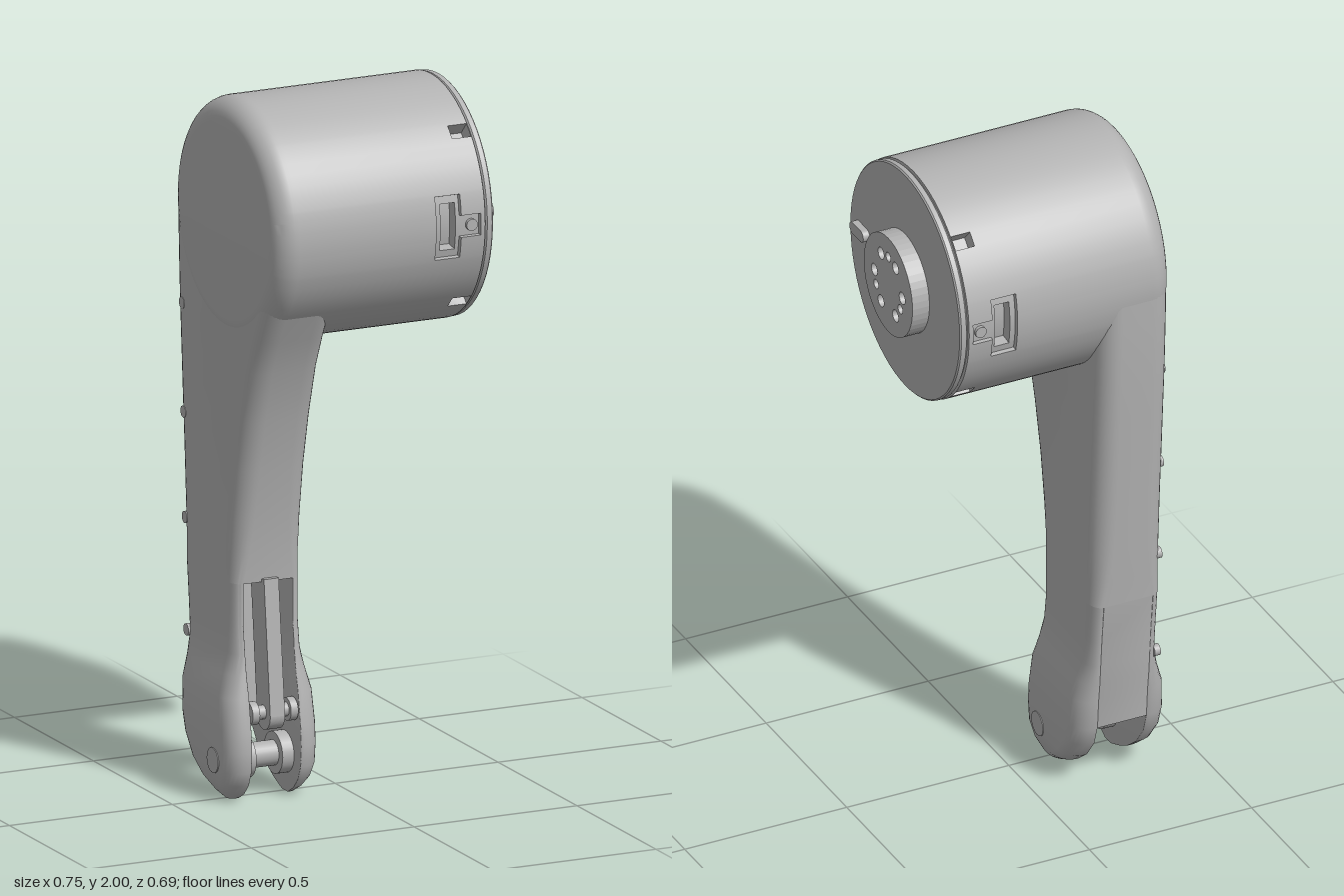
import * as THREE from 'three';
import { toCreasedNormals } from 'three/addons/utils/BufferGeometryUtils.js';

const DRUM_Y = 1.655, DRUM_R = 0.345;
const grey = new THREE.MeshStandardMaterial({ color: 0xb2b2b2 });
grey.name = 'machined grey';

// Closed skin through equal-length rings (counter-clockwise about the loft axis), capped at both ends
function loft(rings, crease = 0.6) {
  const n = rings[0].length, pos = [], idx = [];
  rings.forEach(r => r.forEach(p => pos.push(...p)));
  for (let i = 0; i < rings.length - 1; i++) {
    for (let j = 0; j < n; j++) {
      const a = i * n + j, b = i * n + (j + 1) % n;
      idx.push(a, b, b + n, a, b + n, a + n);
    }
  }
  [0, rings.length - 1].forEach(i => {
    const c = pos.length / 3;
    pos.push(...[0, 1, 2].map(k => rings[i].reduce((s, p) => s + p[k], 0) / n));
    for (let j = 0; j < n; j++) {
      const a = i * n + j, b = i * n + (j + 1) % n;
      idx.push(...(i === 0 ? [b, a, c] : [a, b, c]));
    }
  });
  const g = new THREE.BufferGeometry();
  g.setAttribute('position', new THREE.Float32BufferAttribute(pos, 3));
  g.setIndex(idx);
  return toCreasedNormals(g, crease);
}

// Horizontal rounded rectangle; rl and rr are the x radii of its left and right corners
function section(y, x0, x1, zb, zf, rl, rr, rz = 0.06) {
  const ring = [], N = 7;
  const depth = Math.min(rz, (zf - zb) * 0.45);
  const corners = [[x1, zb, 1, 1, rr], [x0, zb, -1, 1, rl], [x0, zf, -1, -1, rl], [x1, zf, 1, -1, rr]];
  corners.forEach(([x, z, sx, sz, rx], k) => {
    const dz = rx < 0.01 ? 0.002 : depth;
    for (let i = 0; i <= N; i++) {
      const t = (k + i / N) * Math.PI / 2;
      ring.push([x - sx * rx + rx * Math.cos(t), y, z + sz * dz - dz * Math.sin(t)]);
    }
  });
  return ring;
}

// Arm outline: y, back z, front z, min x, max x, corner radius
const OUTLINE = [
  [0.00, -0.02, 0.02, -0.335, -0.13, 0.02],
  [0.02, -0.07, 0.055, -0.355, -0.11, 0.04],
  [0.05, -0.125, 0.083, -0.368, -0.097, 0.05],
  [0.09, -0.175, 0.10, -0.374, -0.09, 0.055],
  [0.15, -0.22, 0.105, -0.375, -0.089, 0.055],
  [0.21, -0.24, 0.10, -0.375, -0.089, 0.055],
  [0.30, -0.247, 0.085, -0.37, -0.093, 0.05],
  [0.36, -0.255, 0.07, -0.35, -0.108, 0.04],
  [0.42, -0.26, 0.06, -0.337, -0.121, 0.031],
  [0.50, -0.267, 0.05, -0.337, -0.122, 0.031],
  [0.62, -0.28, 0.05, -0.337, -0.122, 0.031],
  [0.70, -0.287, 0.057, -0.337, -0.122, 0.045],
  [0.80, -0.295, 0.07, -0.337, -0.122, 0.055],
  [0.95, -0.305, 0.095, -0.337, -0.122, 0.06],
  [1.10, -0.316, 0.13, -0.337, -0.122, 0.06],
  [1.25, -0.326, 0.175, -0.337, -0.122, 0.06],
  [1.35, -0.333, 0.22, -0.337, -0.122, 0.06],
  [1.45, -0.338, 0.27, -0.337, -0.122, 0.06],
  [1.55, -0.342, 0.318, -0.337, -0.122, 0.06],
  [1.65, -0.343, 0.34, -0.337, -0.122, 0.06],
];
const SLOT = [-0.305, -0.155];

// Drum pockets: angle, half angle, min x, max x, depth
const POCKETS = [];
[0, Math.PI].forEach(a => {
  POCKETS.push([a, 0.265, 0.145, 0.22, 0.012], [a, 0.2, 0.163, 0.207, 0.045], [a, 0.09, 0.22, 0.28, 0.012]);
  [-1, 1].forEach(s => POCKETS.push([a + s * Math.PI / 4, 0.06, 0.235, 0.291, 0.045]));
});

// Drum skin as rings along x, pushed inward inside the pockets
function drumGeometry() {
  const TAU = Math.PI * 2, e = 0.0008, R = 0.065;
  const angles = [], xs = [];
  for (let i = 0; i < 64; i++) angles.push(i / 64 * TAU + 0.003);
  POCKETS.forEach(([a, h, x0, x1]) => {
    [a - h, a + h].forEach(t => angles.push((t - e + TAU) % TAU, (t + e + TAU) % TAU));
    [x0, x1].forEach(x => xs.push([x - e, DRUM_R], [x + e, DRUM_R]));
  });
  for (let i = 0; i <= 8; i++) {
    const t = i / 8 * Math.PI / 2;
    xs.push([-0.34 + R * (1 - Math.cos(t)), DRUM_R - R * (1 - Math.sin(t))]);
  }
  xs.push([0.1, DRUM_R], [0.2935, DRUM_R], [0.294, 0.335], [0.298, 0.335]);
  angles.sort((a, b) => a - b);
  xs.sort((a, b) => a[0] - b[0]);
  return loft(xs.map(([x, r]) => angles.map(t => {
    let d = 0;
    POCKETS.forEach(([a, h, x0, x1, depth]) => {
      const da = Math.abs(Math.atan2(Math.sin(t - a), Math.cos(t - a)));
      if (da < h && x > x0 && x < x1) d = Math.max(d, depth);
    });
    // angle 0 faces the front
    return [x, DRUM_Y - (r - d) * Math.sin(t), (r - d) * Math.cos(t)];
  })), 0.5);
}

export function createModel() {
  const model = new THREE.Group();
  model.name = 'robotArmLink';
  const add = (name, geometry) => {
    const m = new THREE.Mesh(geometry, grey);
    m.name = name;
    model.add(m);
    return m;
  };
  // Cylinder along x
  const pin = (name, x0, x1, y, z, r, sides = 28) =>
    add(name, new THREE.CylinderGeometry(r, r, x1 - x0, sides).rotateZ(-Math.PI / 2).translate((x0 + x1) / 2, y, z));
  // Extrusion of a side-on shape along x
  const plate = (name, shape, x, depth, y, z) =>
    add(name, new THREE.ExtrudeGeometry(shape, { depth, bevelEnabled: false, curveSegments: 24 })
      .rotateY(Math.PI / 2).translate(x, y, z));

  // Motor drum
  add('drumHousing', drumGeometry());
  const rim = [[0, 0.297], [0.338, 0.297], [0.343, 0.301], [0.343, 0.316], [0.339, 0.32], [0, 0.32]];
  add('endPlate', toCreasedNormals(new THREE.LatheGeometry(rim.map(p => new THREE.Vector2(...p)), 64)
    .rotateZ(-Math.PI / 2).translate(0, DRUM_Y, 0), 0.5));

  // Output hub with bolt and dowel holes
  const hub = new THREE.Shape().absarc(0, 0, 0.151, 0, Math.PI * 2);
  const hole = (x, y, r) => hub.holes.push(new THREE.Path().absarc(x, y, r, 0, Math.PI * 2, true));
  [-1, 1].forEach(s => {
    hole(s * 0.045, 0.078, 0.018);
    hole(s * 0.086, 0.003, 0.018);
    hole(s * 0.045, -0.076, 0.018);
    hole(s * 0.075, -0.038, 0.014);
  });
  hole(0, 0.09, 0.014);
  plate('outputHub', hub, 0.319, 0.053, DRUM_Y, 0);

  // Locating key on the end plate
  const key = new THREE.Shape();
  key.absarc(0.025, 0, 0.018, -Math.PI / 2, Math.PI / 2);
  key.absarc(-0.025, 0, 0.018, Math.PI / 2, Math.PI * 1.5);
  plate('locatingKey', key, 0.319, 0.021, 1.674, 0.262);

  // Screw heads in the service windows
  [-1, 1].forEach(s => add('windowScrew', new THREE.CylinderGeometry(0.017, 0.017, 0.01, 20)
    .rotateX(Math.PI / 2).translate(0.255, DRUM_Y, s * 0.337)));

  // Solid arm above the fork slot
  add('upperArm', loft(OUTLINE.filter(r => r[0] >= 0.62)
    .map(([y, zb, zf, x0, x1, r]) => section(y, x0, x1, zb, zf, r, r))));

  // Fork cheeks and the wall joining them at the back
  const lower = OUTLINE.filter(r => r[0] <= 0.62);
  add('forkCheekRight', loft(lower.map(([y, zb, zf, x0, , r]) => section(y, x0, SLOT[0], zb, zf, r, 0.002))));
  add('forkCheekLeft', loft(lower.map(([y, zb, zf, , x1, r]) => section(y, SLOT[1], x1, zb, zf, 0.002, r))));
  add('forkBackWall', loft(lower.filter(r => r[0] > 0.2)
    .map(([y, zb]) => section(y, SLOT[0] - 0.001, SLOT[1] + 0.001, zb, zb + 0.09, 0.002, 0.002))));

  // Lower pivot pin with collars
  pin('pivotPin', -0.377, -0.087, 0.112, 0, 0.036);
  [[-0.306, -0.27], [-0.19, -0.154]].forEach(([a, b]) => pin('pivotCollar', a, b, 0.112, 0, 0.06));

  // Linkage rod and its pin
  const rod = new THREE.Shape();
  rod.moveTo(-0.065, 0.63).lineTo(0.02, 0.63).lineTo(-0.02, 0.25);
  rod.absarc(-0.06, 0.245, 0.045, 0, -Math.PI, true);
  rod.lineTo(-0.065, 0.63);
  plate('linkageRod', rod, -0.25, 0.045, 0, 0);
  pin('linkagePin', -0.295, -0.16, 0.25, 0.06, 0.02);
  [[-0.297, -0.275], [-0.18, -0.158]].forEach(([a, b]) => pin('linkagePinHead', a, b, 0.25, 0.06, 0.033));

  // Cover screws along the back edge of the flat side
  [0.42, 0.74, 1.04, 1.35].forEach(y => pin('coverScrew', -0.338, -0.32, y, -0.235 - y * 0.03, 0.017, 16));

  return model;
}
